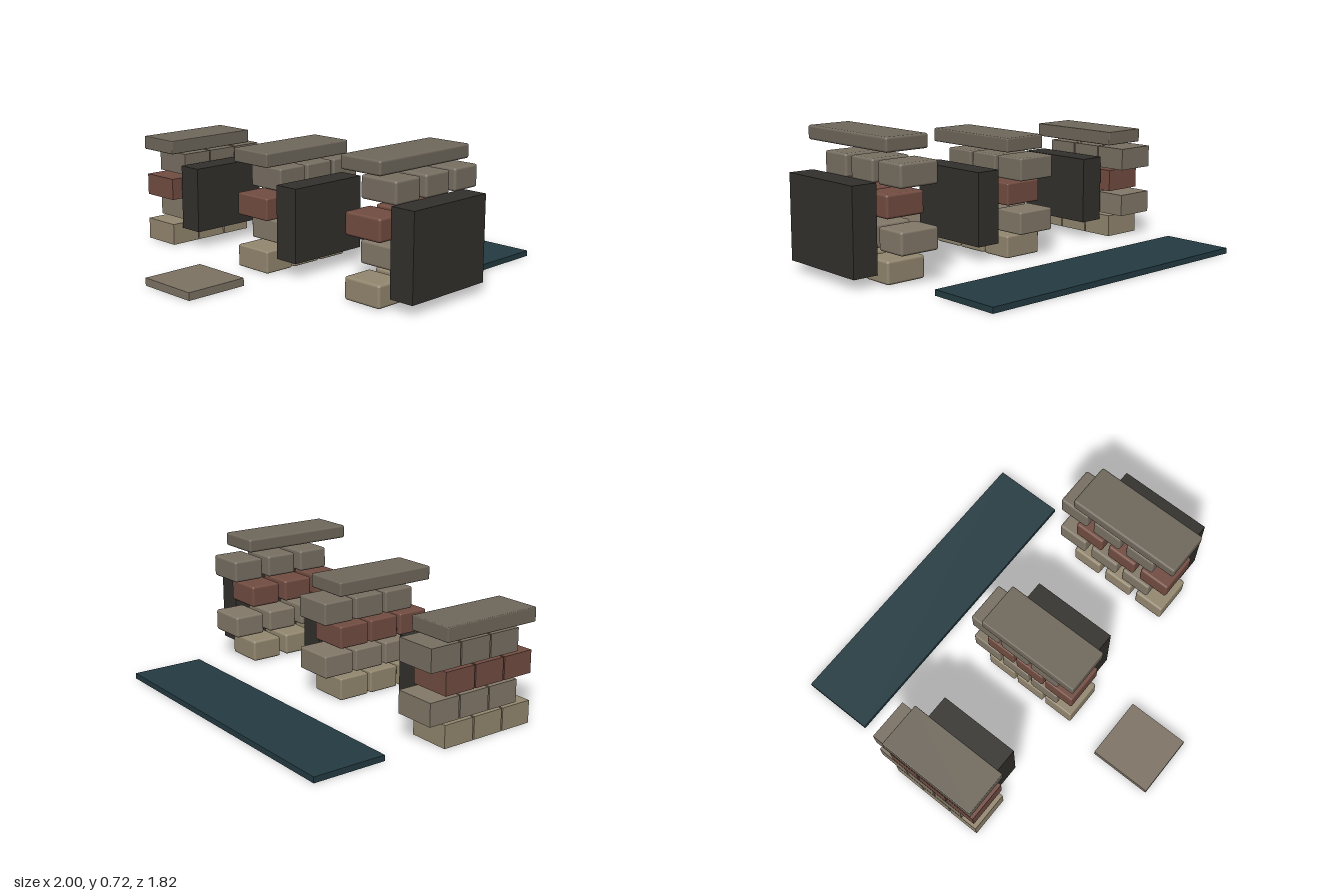
import * as THREE from 'three';
import { RoundedBoxGeometry } from 'three/addons/geometries/RoundedBoxGeometry.js';

const mat = (color) => new THREE.MeshStandardMaterial({ color });

// Box with optional softened edges, centred at x, z and standing at height y
function block(name, [w, h, d], [x, y, z], material, bevel = 0) {
  const geometry = bevel > 0
    ? new RoundedBoxGeometry(w, h, d, 2, bevel)
    : new THREE.BoxGeometry(w, h, d);
  const mesh = new THREE.Mesh(geometry, material);
  mesh.name = name;
  mesh.position.set(x, y + h / 2, z);
  return mesh;
}

export function createModel() {
  const model = new THREE.Group();
  model.name = 'brickWallSamples';

  const courseMats = [0x948870, 0x837969, 0x734d42, 0x797063].map(mat);
  const capMat = mat(0x70685c);
  const coreMat = mat(0x33312d);
  const midZ = 0.06;
  const brick = [0.226, 0.118, 0.177];

  // Three sample walls with growing joints and softer edges
  const walls = [
    { x: -0.872, pitch: 0.185, rise: 0.13, base: 0.002, bevel: 0, capBevel: 0.005,
      capY: 0.524, capLength: 0.562, core: [-0.664, 0.098, 0.357, 0.455] },
    { x: -0.078, pitch: 0.195, rise: 0.14, base: 0.002, bevel: 0.009, capBevel: 0.008,
      capY: 0.563, capLength: 0.59, core: [0.129, 0.08, 0.39, 0.477] },
    { x: 0.719, pitch: 0.217, rise: 0.16, base: 0.003, bevel: 0.013, capBevel: 0.012,
      capY: 0.643, capLength: 0.65, core: [0.93, 0.053, 0.446, 0.527] },
  ];

  walls.forEach((w, i) => {
    const wall = new THREE.Group();
    wall.name = `wall${i + 1}`;

    // Running-bond courses: odd rows shift back by half a brick
    for (let row = 0; row < 4; row++) {
      for (let k = -1; k <= 1; k++) {
        const z = midZ + k * w.pitch - (row % 2) * w.pitch / 2;
        wall.add(block('brick', brick, [w.x, w.base + row * w.rise, z], courseMats[row], w.bevel));
      }
    }

    // Coping slab
    wall.add(block('capSlab', [0.254, 0.074, w.capLength], [w.x, w.capY, midZ], capMat, w.capBevel));

    // Dark mortar core standing beside the bricks
    const [cx, cy, ch, cd] = w.core;
    wall.add(block('mortarCore', [0.139, ch, cd], [cx, cy, midZ - 0.001], coreMat));
    model.add(wall);
  });

  // Flat pieces lying on the ground
  model.add(block('longPanel', [1.685, 0.03, 0.395], [-0.077, 0, -0.7125], mat(0x243c42)));
  model.add(block('pavingSlab', [0.346, 0.041, 0.348], [-0.077, 0, 0.732], mat(0x7d7364)));

  return model;
}
